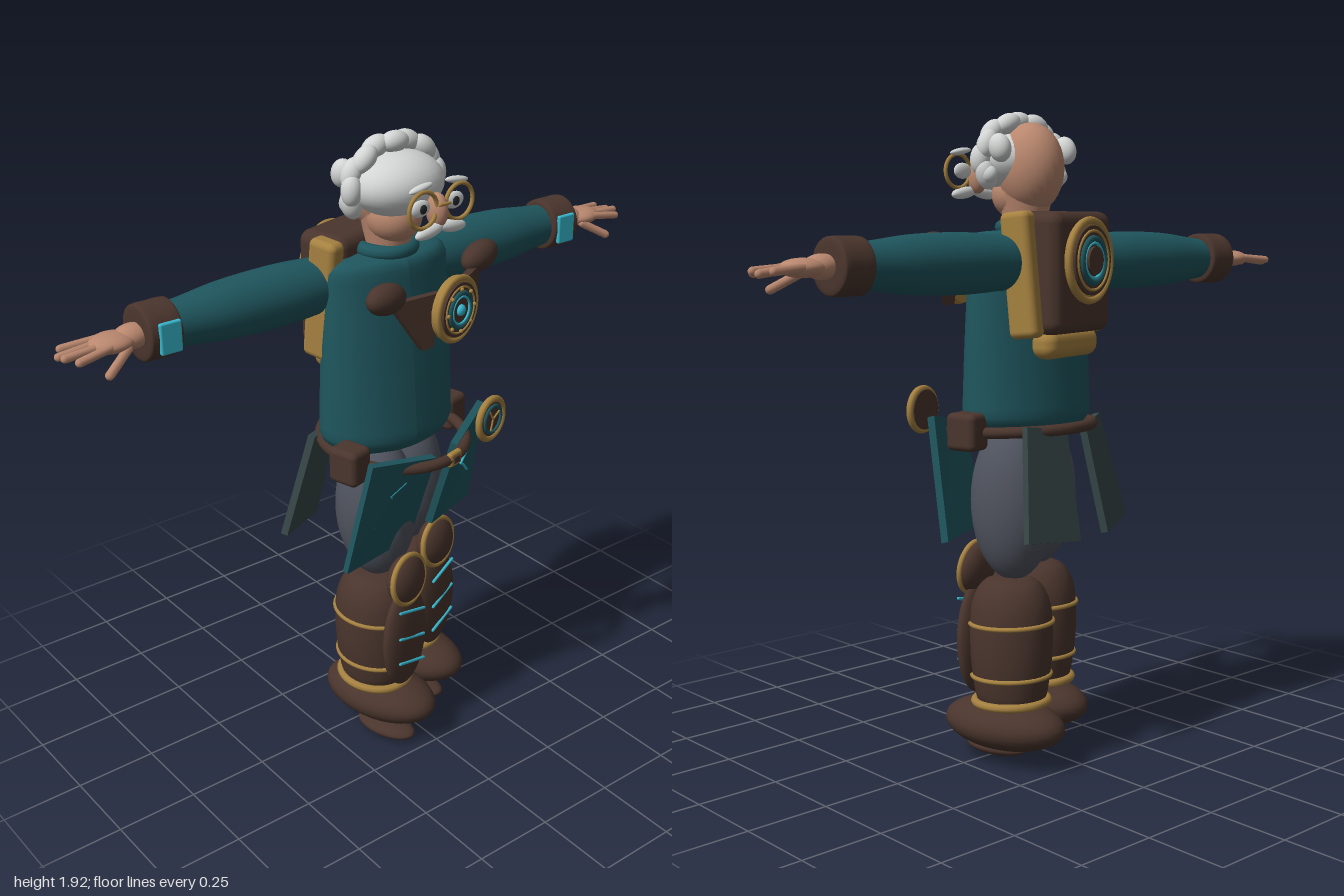
import * as THREE from 'three';
import { RoundedBoxGeometry } from 'three/addons/geometries/RoundedBoxGeometry.js';

const V = (x, y, z) => new THREE.Vector3(x, y, z);

export function createModel() {
  const mat = (name, color) => {
    const m = new THREE.MeshStandardMaterial({ color });
    m.name = name;
    return m;
  };
  const teal = mat('teal cloth', 0x1f565e), slate = mat('slate lining', 0x364647);
  const brown = mat('brown leather', 0x4a352d), gold = mat('brass', 0xa58140);
  const skin = mat('skin', 0xb9876e), white = mat('white hair', 0xd2d5d3);
  const grey = mat('grey trousers', 0x50545f), cyan = mat('cyan glow', 0x37b9d0);
  const dark = mat('dark pupil', 0x26282c);

  const model = new THREE.Group();
  model.name = 'oldInventor';
  // Chest, backpack and belt gear share one slightly turned frame
  const gear = new THREE.Group();
  gear.name = 'turnedGear';
  gear.rotation.y = 0.245;
  model.add(gear);

  const add = (parent, name, geo, m, p = [0, 0, 0], r = [0, 0, 0]) => {
    const mesh = new THREE.Mesh(geo, m);
    mesh.name = name;
    mesh.position.set(...p);
    mesh.rotation.set(...r);
    parent.add(mesh);
    return mesh;
  };
  const group = (parent, name, p = [0, 0, 0], ry = 0) => {
    const g = new THREE.Group();
    g.name = name;
    g.position.set(...p);
    g.rotation.y = ry;
    parent.add(g);
    return g;
  };
  const ball = (parent, name, m, p, s, r) =>
    add(parent, name, new THREE.SphereGeometry(1, 28, 20).scale(...s), m, p, r);
  const box = (parent, name, m, p, s, rad = 0.015, r) =>
    add(parent, name, new RoundedBoxGeometry(s[0], s[1], s[2], 3, rad), m, p, r);
  const ring = (parent, name, m, p, R, t, r) =>
    add(parent, name, new THREE.TorusGeometry(R, t, 10, 40), m, p, r);
  const disc = (parent, name, m, p, R, t) =>
    add(parent, name, new THREE.CylinderGeometry(R, R, t, 36).rotateX(Math.PI / 2), m, p);
  const lathe = (pts) => new THREE.LatheGeometry(
    new THREE.SplineCurve(pts.map(p => new THREE.Vector2(...p))).getPoints(24), 32);
  // Round-ended rod between two points
  const rod = (parent, name, m, a, b, rad) => {
    const d = b.clone().sub(a);
    const mesh = add(parent, name, new THREE.CapsuleGeometry(rad, d.length(), 4, 8), m);
    mesh.position.copy(a).addScaledVector(d, 0.5);
    mesh.quaternion.setFromUnitVectors(V(0, 1, 0), d.normalize());
  };
  // Point on a four-cornered plate; corners run clockwise from top left
  const onQuad = (c, u, v) => c[0].clone().lerp(c[1], u).lerp(c[3].clone().lerp(c[2], u), v);
  const normalOf = c => c[3].clone().sub(c[0]).cross(c[1].clone().sub(c[0])).normalize();
  const plate = (parent, name, m, c, t) => {
    const g = new THREE.BoxGeometry(1, 1, 1), pos = g.attributes.position, n = normalOf(c);
    for (let i = 0; i < pos.count; i++) {
      const p = onQuad(c, pos.getX(i) + 0.5, 0.5 - pos.getY(i)).addScaledVector(n, pos.getZ(i) * t);
      pos.setXYZ(i, p.x, p.y, p.z);
    }
    g.computeVertexNormals();
    add(parent, name, g, m);
  };
  // Mirror plate corners for the right side
  const side = (c, s) => s > 0 ? c.map(p => V(...p))
    : [1, 0, 3, 2].map(i => V(-c[i][0], c[i][1], c[i][2]));

  // Torso and collar
  const torso = lathe([[0, 0.97], [0.14, 0.98], [0.215, 1.02], [0.222, 1.1], [0.217, 1.3],
    [0.207, 1.48], [0.195, 1.56], [0.12, 1.575], [0, 1.58]]);
  const tp = torso.attributes.position;
  for (let i = 0; i < tp.count; i++) {
    tp.setZ(i, tp.getZ(i) * (0.66 - 0.28 * (tp.getY(i) - 1.02)) - 0.008);
  }
  torso.computeVertexNormals();
  add(model, 'torso', torso, teal);
  ring(model, 'collar', teal, [0, 1.585, -0.01], 0.075, 0.022, [Math.PI / 2, 0, 0]);

  // Head
  const head = group(model, 'head');
  add(head, 'neck', new THREE.CylinderGeometry(0.08, 0.052, 0.15, 28).scale(1, 1, 1.1), skin, [0, 1.62, 0]);
  ball(head, 'jaw', skin, [0, 1.68, 0.025], [0.08, 0.075, 0.085]);
  ball(head, 'skull', skin, [0, 1.755, -0.022], [0.095, 0.132, 0.106]);
  ball(head, 'hairMass', white, [0, 1.778, 0.04], [0.142, 0.09, 0.118]);
  for (let i = 0; i < 11; i++) {
    const a = -0.35 + i * (Math.PI + 0.7) / 10;
    ball(head, 'hairPuff', white, [0.148 * Math.cos(a), 1.775 + 0.115 * Math.sin(a), 0.015 + (i % 2) * 0.015],
      [0.045, 0.03, 0.03], [0, 0, a + Math.PI / 2]);
  }
  for (const s of [-1, 1]) {
    ball(head, 'sideHair', white, [s * 0.13, 1.81, -0.035], [0.03, 0.042, 0.035], [0.4, 0, 0]);
    ball(head, 'sideHair', white, [s * 0.14, 1.735, 0.005], [0.025, 0.028, 0.03]);
  }

  // Floating face: nose, eyes, spectacles and moustache
  const face = group(model, 'face', [0.012, 0, 0.2], 0.05);
  ball(face, 'nose', skin, [0, 1.735, 0], [0.028, 0.05, 0.034]);
  for (const s of [-1, 1]) {
    ball(face, 'eye', white, [s * 0.062, 1.752, 0], [0.034, 0.024, 0.012]);
    ball(face, 'pupil', dark, [s * 0.06, 1.752, 0.01], [0.013, 0.013, 0.005]);
    ring(face, 'spectacleRim', gold, [s * 0.066, 1.752, 0.016], 0.05, 0.006);
    ball(face, 'eyebrow', white, [s * 0.065, 1.81, 0.005], [0.042, 0.01, 0.012], [0, 0, -s * 0.15]);
    ball(face, 'moustache', white, [s * 0.042, 1.688, 0.015], [0.05, 0.018, 0.016], [0, 0, -s * 0.15]);
  }
  rod(face, 'spectacleBridge', gold, V(-0.017, 1.76, 0.03), V(0.017, 1.76, 0.03), 0.005);

  // Arms, cuffs and hands
  for (const s of [-1, 1]) {
    const arm = group(model, s > 0 ? 'leftArm' : 'rightArm', [0, 1.485, -0.085]);
    add(arm, 'sleeve', lathe([[0, 0.12], [0.07, 0.14], [0.082, 0.22], [0.087, 0.34], [0.082, 0.5],
      [0.068, 0.62], [0.06, 0.7]]), teal, [0, 0, 0], [0, 0, -s * Math.PI / 2]);
    add(arm, 'cuff', lathe([[0.03, 0.667], [0.072, 0.669], [0.079, 0.682], [0.079, 0.72], [0.079, 0.755],
      [0.072, 0.768], [0.03, 0.77], [0, 0.77]]), brown, [0, 0, 0], [0, 0, -s * Math.PI / 2]);
    box(arm, 'cuffPanel', cyan, [s * 0.712, 0, 0.078], [0.066, 0.09, 0.014], 0.006);
    ball(arm, 'wrist', skin, [s * 0.785, 0, 0.005], [0.055, 0.034, 0.042]);
    ball(arm, 'palm', skin, [s * 0.845, -0.002, 0.006], [0.065, 0.026, 0.054]);
    for (let f = 0; f < 4; f++) {
      const tip = [0.965, 0.987, 0.985, 0.962][f];
      rod(arm, 'finger', skin, V(s * 0.87, 0, -0.033 + f * 0.026),
        V(s * tip, -0.008 - (f % 2) * 0.006, -0.048 + f * 0.033), 0.012);
    }
    rod(arm, 'thumb', skin, V(s * 0.82, -0.015, 0.045), V(s * 0.895, -0.058, 0.078), 0.013);
  }

  // Round ornament with brass rims and a glowing ring
  const medallion = (name, p, R, ry) => {
    const g = group(gear, name, p, ry);
    disc(g, 'backing', gold, [0, 0, 0], R * 0.95, 0.024);
    ring(g, 'outerRim', gold, [0, 0, 0.008], R * 0.92, R * 0.09);
    disc(g, 'leatherFace', brown, [0, 0, 0.01], R * 0.8, 0.02);
    ring(g, 'innerRim', gold, [0, 0, 0.02], R * 0.68, R * 0.035);
    ring(g, 'tealRing', teal, [0, 0, 0.02], R * 0.5, R * 0.08);
    ring(g, 'glowRing', cyan, [0, 0, 0.023], R * 0.4, R * 0.035);
    return g;
  };
  const brooch = medallion('chestBrooch', [0, 1.45, 0.235], 0.098, 0);
  ball(brooch, 'core', cyan, [0, 0, 0.022], [0.017, 0.017, 0.012]);
  for (let i = 0; i < 8; i++) {
    const a = i * Math.PI / 4;
    ball(brooch, 'stud', gold, [0.062 * Math.cos(a), 0.062 * Math.sin(a), 0.024], [0.006, 0.006, 0.006]);
  }

  // Chest straps, backpack braces and skirt panels, mirrored
  for (const s of [-1, 1]) {
    ball(gear, 'shoulderPad', brown, [s * 0.22, 1.528, 0.165], [0.074, 0.044, 0.04], [0, 0, s * 0.12]);
    plate(gear, 'lapel', brown, side([[0.05, 1.51, 0.215], [0.21, 1.51, 0.165],
      [0.115, 1.355, 0.205], [0.08, 1.36, 0.215]], s), 0.024);
    box(gear, 'backpackBrace', gold, [s * 0.168, 1.45, -0.1], [0.06, 0.36, 0.095], 0.02, [0.1, 0, 0]);
    box(gear, 'pouch', brown, [s * 0.236, 1.0, 0.045], [0.085, 0.11, 0.1], 0.018);
    const front = side([[0.05, 1.0, 0.208], [0.272, 1.04, 0.15], [0.305, 0.68, 0.078], [0.053, 0.7, 0.116]], s);
    plate(gear, 'frontPanel', teal, front, 0.022);
    const n = normalOf(front);
    const zig = [[0.4, 0.22], [0.6, 0.33], [0.45, 0.43], [0.58, 0.5], [0.75, 0.62]].map(([u, v]) =>
      onQuad(front, s > 0 ? u : 1 - u, v).addScaledVector(n, 0.013));
    for (let i = 0; i < 4; i++) rod(gear, 'circuitLine', cyan, zig[i], zig[i + 1], 0.004);
    plate(gear, 'backPanel', slate, side([[0.2, 1.02, -0.13], [0.05, 1.0, -0.17],
      [0.075, 0.68, -0.235], [0.275, 0.7, -0.185]], s), 0.022);
  }

  // Backpack
  box(gear, 'backpack', brown, [0, 1.455, -0.125], [0.31, 0.35, 0.17], 0.035);
  box(gear, 'bedroll', gold, [0, 1.25, -0.14], [0.27, 0.085, 0.085], 0.035);
  const dialBack = medallion('backpackGear', [0, 1.49, -0.215], 0.125, Math.PI);
  disc(dialBack, 'core', brown, [0, 0, 0.025], 0.04, 0.012);

  // Belt, buckle and dial
  add(gear, 'belt', new THREE.TorusGeometry(0.215, 0.017, 10, 48).rotateX(Math.PI / 2).scale(1, 1, 1.02),
    brown, [0, 0.995, 0.02], [0.05, 0, 0]);
  box(gear, 'buckle', gold, [0, 0.985, 0.245], [0.055, 0.045, 0.02], 0.008);
  box(gear, 'buckleInset', brown, [0, 0.985, 0.254], [0.03, 0.022, 0.01], 0.003);
  const dial = group(gear, 'beltDial', [0.18, 1.045, 0.245]);
  disc(dial, 'dialFace', brown, [0, 0, 0], 0.06, 0.02);
  ring(dial, 'dialRim', gold, [0, 0, 0.004], 0.062, 0.011);
  ring(dial, 'dialScale', teal, [0, 0, 0.011], 0.042, 0.006);
  for (const a of [0.5, 2.1, 4.4]) {
    rod(dial, 'needle', gold, V(0, 0, 0.013), V(0.035 * Math.cos(a), 0.035 * Math.sin(a), 0.013), 0.003);
  }

  // Legs: the right one stands forward of the left
  for (const s of [-1, 1]) {
    const leg = group(model, s > 0 ? 'leftLeg' : 'rightLeg', s > 0 ? [0.13, 0, -0.08] : [-0.085, 0, 0.04], 0.25);
    ball(leg, 'thigh', grey, [-s * 0.01, 0.79, 0], [0.112, 0.235, 0.13]);
    add(leg, 'boot', lathe([[0, 0.16], [0.085, 0.18], [0.108, 0.27], [0.116, 0.38], [0.108, 0.49],
      [0.07, 0.555], [0, 0.565]]).scale(1, 1, 1.1), brown);
    for (const [y, R] of [[0.43, 0.115], [0.27, 0.109], [0.19, 0.1]]) {
      add(leg, 'bootBand', new THREE.TorusGeometry(R, y < 0.2 ? 0.013 : 0.007, 8, 40)
        .rotateX(Math.PI / 2).scale(1, 1, 1.1), gold, [0, y, 0], [0.05, 0, 0]);
    }
    ball(leg, 'footCover', brown, [0.008, 0.118, 0.018], [0.118, 0.078, 0.2]);
    ball(leg, 'sole', brown, [-0.03, 0.026, 0.07], [0.055, 0.026, 0.105]);
    // Knee cap and shin guard
    ball(leg, 'kneeCap', brown, [0, 0.578, 0.122], [0.08, 0.078, 0.042], [-0.1, 0, 0]);
    ring(leg, 'kneeRim', gold, [0, 0.578, 0.132], 0.077, 0.009, [-0.1, 0, 0]);
    ball(leg, 'shinGuard', brown, [0, 0.37, 0.118], [0.1, 0.175, 0.036]);
    for (const y of [0.475, 0.38, 0.29]) {
      rod(leg, 'shinGlow', cyan, V(-s * 0.05, y - 0.015, 0.155), V(s * 0.06, y + 0.015, 0.148), 0.005);
    }
  }
  return model;
}
